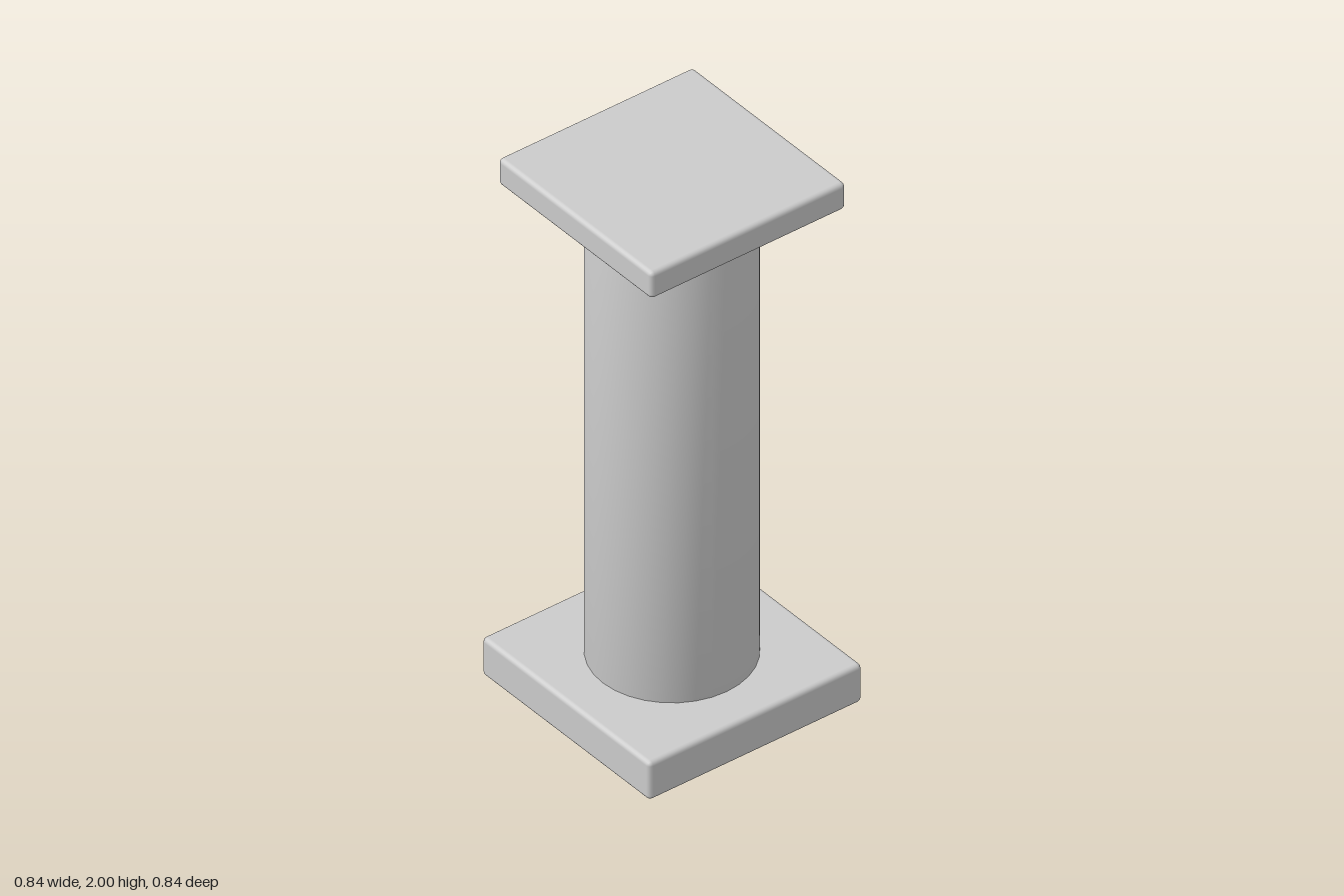
import * as THREE from 'three';
import { mergeVertices } from 'three/addons/utils/BufferGeometryUtils.js';
import { RoundedBoxGeometry } from 'three/addons/geometries/RoundedBoxGeometry.js';

const material = new THREE.MeshStandardMaterial({ color: 0xcccccc });

function addPart(group, name, geometry, bottom, top) {
  const mesh = new THREE.Mesh(geometry, material);
  mesh.name = name;
  mesh.position.y = (bottom + top) / 2;
  group.add(mesh);
}

// Square slab with softly bevelled edges
function addSlab(group, name, width, bottom, top) {
  addPart(group, name, new RoundedBoxGeometry(width, top - bottom, width, 2, 0.016), bottom, top);
}

// Round shaft whose normals are smoothed across the rims into the end caps
function addShaft(group, radius, bottom, top) {
  let geometry = new THREE.CylinderGeometry(radius, radius, top - bottom, 32);
  geometry.deleteAttribute('normal');
  geometry.deleteAttribute('uv');
  geometry = mergeVertices(geometry, 1e-4);
  geometry.computeVertexNormals();
  addPart(group, 'shaft', geometry, bottom, top);
}

export function createModel() {
  const column = new THREE.Group();
  column.name = 'column';
  addSlab(column, 'basePlinth', 0.84, 0, 0.146);
  addShaft(column, 0.273, 0.146, 1.898);
  addSlab(column, 'topSlab', 0.768, 1.898, 2);
  return column;
}
